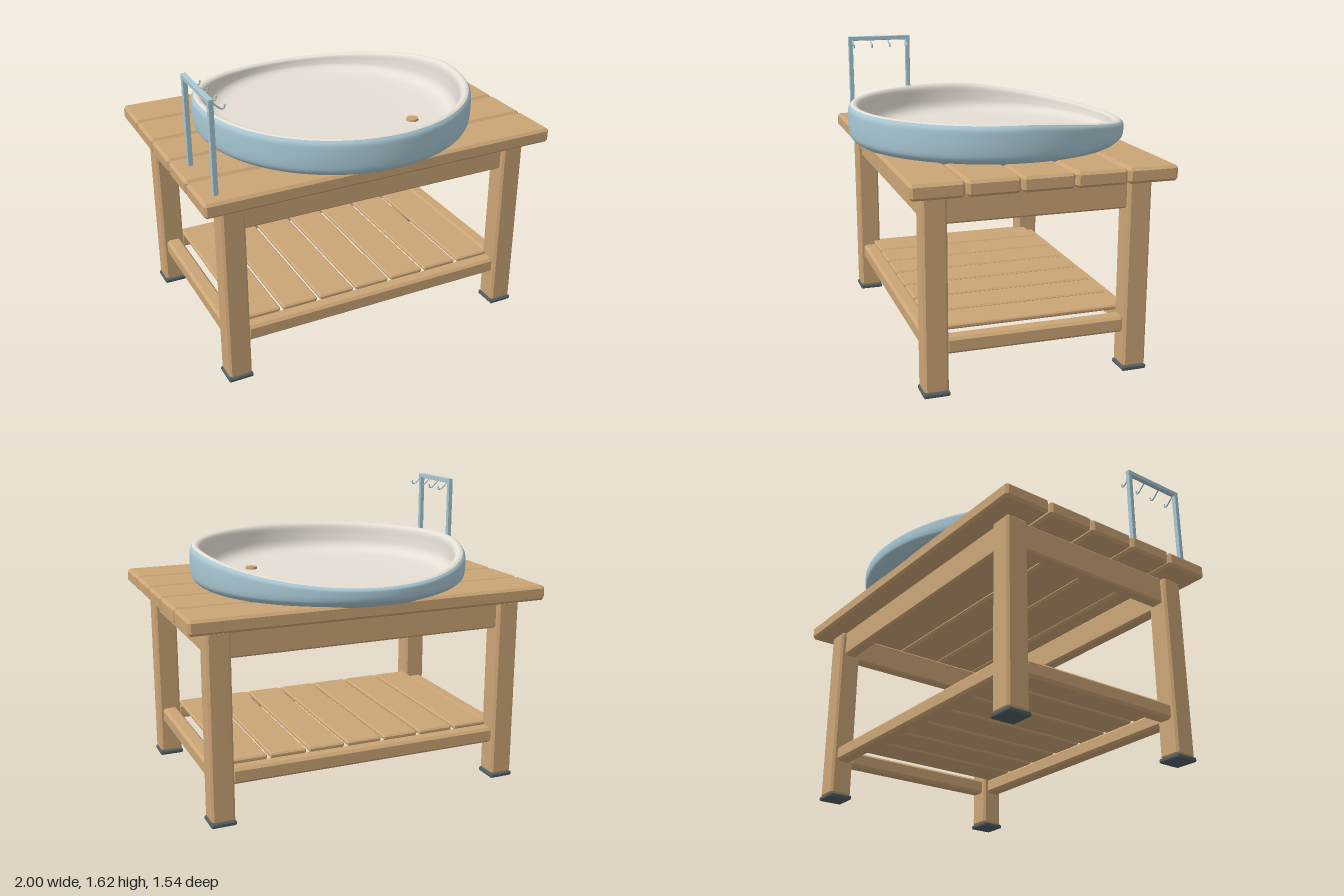
import * as THREE from 'three';
import { ConvexGeometry } from 'three/addons/geometries/ConvexGeometry.js';
import { mergeVertices } from 'three/addons/utils/BufferGeometryUtils.js';

const material = (name, color) => {
  const m = new THREE.MeshStandardMaterial({ color });
  m.name = name;
  return m;
};

// Box with every edge and corner chamfered by r
const chamferedBox = (w, h, d, r) => {
  const points = [];
  for (const sx of [-0.5, 0.5]) for (const sy of [-0.5, 0.5]) for (const sz of [-0.5, 0.5]) {
    const full = [sx * w, sy * h, sz * d];
    const inset = [sx * (w - 2 * r), sy * (h - 2 * r), sz * (d - 2 * r)];
    for (let axis = 0; axis < 3; axis++) {
      points.push(new THREE.Vector3(...inset.map((v, i) => (i === axis ? full[i] : v))));
    }
  }
  return new ConvexGeometry(points);
};

export function createModel() {
  const model = new THREE.Group();
  model.name = 'washTable';
  const wood = material('wood', 0xcba576);
  const blue = material('blueGlaze', 0xa9c8d4);
  const cream = material('creamGlaze', 0xe5ded4);
  const steel = material('paleSteel', 0xa9c8d4);
  const rubber = material('darkRubber', 0x515e62);
  const copper = material('copper', 0xcba072);

  const add = (name, geometry, mat, x = 0, y = 0, z = 0) => {
    const mesh = new THREE.Mesh(geometry, mat);
    mesh.name = name;
    mesh.position.set(x, y, z);
    model.add(mesh);
  };
  // Chamfered block given by its centre in x and z and its span in y
  const block = (name, mat, w, y0, y1, d, x, z, r = 0.01) =>
    add(name, chamferedBox(w, y1 - y0, d, r), mat, x, (y0 + y1) / 2, z);

  // Legs, feet and spacers under the top
  for (const sx of [-1, 1]) {
    for (const sz of [-1, 1]) {
      const x = sx * 0.827, z = sz * 0.537;
      block('leg', wood, 0.126, 0.02, 1.034, 0.126, x, z, 0.012);
      block('foot', rubber, 0.136, 0, 0.024, 0.136, x, z, 0.006);
      block('legSpacer', wood, 0.06, 1.02, 1.055, 0.06, x, z, 0.004);
    }
  }

  // Aprons and lower rails between the legs
  for (const s of [-1, 1]) {
    block('longApron', wood, 1.54, 0.884, 1.038, 0.075, 0, s * 0.537);
    block('sideApron', wood, 0.075, 0.884, 1.038, 0.96, s * 0.827, 0);
    block('longRail', wood, 1.54, 0.212, 0.298, 0.085, 0, s * 0.537, 0.014);
    block('sideRail', wood, 0.085, 0.212, 0.298, 0.96, s * 0.827, 0, 0.014);
  }

  // Table top planks
  for (let i = -2; i <= 2; i++) {
    block('topPlank', wood, 1.998, 1.044, 1.124, 0.267, 0, i * 0.2755 - 0.003, 0.014);
  }
  // Shelf slats
  for (let i = -3; i <= 3; i++) {
    block('shelfSlat', wood, 0.203, 0.296, 0.323, 1.03, i * 0.2195, 0, 0.008);
  }

  // Basin: turned profile whose rim slopes down towards the back
  const basinPart = (name, points, mat) => {
    const curve = new THREE.SplineCurve(points.map(([r, y]) => new THREE.Vector2(r, y)));
    const profile = curve.getPoints(points.length * 5);
    profile.forEach((p) => { p.x = Math.max(p.x, 0); });
    let g = new THREE.LatheGeometry(profile, 96);
    g.deleteAttribute('uv');
    g.deleteAttribute('normal');
    const pos = g.attributes.position;
    for (let i = 0; i < pos.count; i++) {
      const y = pos.getY(i);
      const back = Math.max(0, -pos.getZ(i) / 0.77);
      const weight = THREE.MathUtils.clamp((y - 1.14) / 0.184, 0, 1);
      pos.setY(i, y - 0.108 * Math.pow(back, 1.4) * weight);
    }
    g = mergeVertices(g, 1e-5);
    g.computeVertexNormals();
    add(name, g, mat);
  };
  basinPart('basinShell', [
    [0, 1.103], [0.35, 1.103], [0.66, 1.105], [0.72, 1.118], [0.76, 1.147],
    [0.771, 1.195], [0.772, 1.27], [0.769, 1.302], [0.757, 1.321],
  ], blue);
  basinPart('basinInside', [
    [0.757, 1.321], [0.742, 1.326], [0.724, 1.319], [0.712, 1.298], [0.706, 1.25],
    [0.695, 1.2], [0.665, 1.167], [0.6, 1.151], [0.4, 1.146], [0, 1.145],
  ], cream);

  // Drain plug
  add('drainPlug', new THREE.CylinderGeometry(0.032, 0.035, 0.014, 32), copper, 0.36, 1.152, 0.285);

  // Hook rack
  const rackX = -0.913;
  for (const z of [0.235, 0.597]) {
    block('rackPost', steel, 0.026, 1.115, 1.6, 0.026, rackX, z, 0.002);
  }
  block('rackBar', steel, 0.026, 1.589, 1.615, 0.388, rackX, 0.416, 0.002);
  const hookPath = new THREE.CatmullRomCurve3([
    [-0.903, 1.593], [-0.88, 1.572], [-0.862, 1.556], [-0.847, 1.552], [-0.84, 1.558], [-0.839, 1.57],
  ].map(([x, y]) => new THREE.Vector3(x, y, 0)));
  const hook = new THREE.TubeGeometry(hookPath, 20, 0.004, 8);
  const tip = new THREE.SphereGeometry(0.0045, 10, 8);
  for (const z of [0.248, 0.361, 0.474, 0.586]) {
    add('hook', hook, steel, 0, 0, z);
    add('hookTip', tip, steel, -0.839, 1.57, z);
  }

  return model;
}
